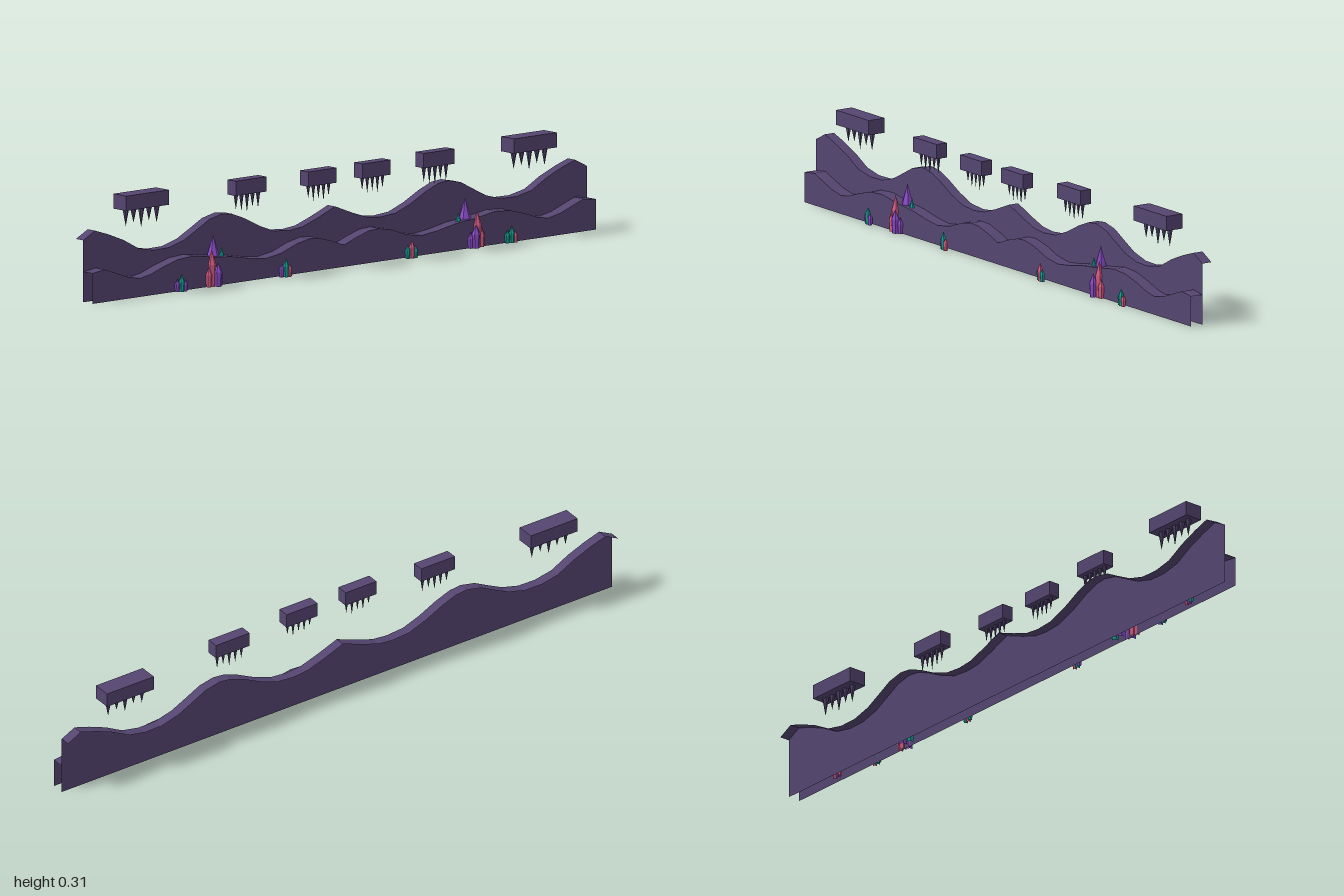
import * as THREE from 'three';

const mat = (name, color, side = THREE.FrontSide) => {
  const m = new THREE.MeshStandardMaterial({ color, side });
  m.name = name;
  return m;
};

// Faceted normals
function facet(geo) {
  const g = geo.index ? geo.toNonIndexed() : geo;
  g.computeVertexNormals();
  return g;
}

// Open terrain shell: a front wall and a ledge running back from its top edge
function ridge(name, half, zFront, zBack, material) {
  const left = half.slice(1).reverse().map(([x, y]) => [-x, y]);
  const profile = [...left, ...half];
  const pos = [];
  const quad = (a, b, c, d) => pos.push(...a, ...b, ...c, ...a, ...c, ...d);
  for (let i = 0; i < profile.length - 1; i++) {
    const [x0, y0] = profile[i], [x1, y1] = profile[i + 1];
    quad([x0, 0, zFront], [x1, 0, zFront], [x1, y1, zFront], [x0, y0, zFront]);
    quad([x0, y0, zFront], [x1, y1, zFront], [x1, y1, zBack], [x0, y0, zBack]);
  }
  const geo = new THREE.BufferGeometry();
  geo.setAttribute('position', new THREE.Float32BufferAttribute(pos, 3));
  const mesh = new THREE.Mesh(facet(geo), material);
  mesh.name = name;
  return mesh;
}

// Six-sided crystal: widening shaft with a pointed top
function crystal(x, z, r, h, material) {
  const pts = [[r * 0.8, 0], [r, h * 0.6], [0, h]].map(p => new THREE.Vector2(...p));
  const mesh = new THREE.Mesh(facet(new THREE.LatheGeometry(pts, 6)), material);
  mesh.position.set(x, 0, z);
  mesh.name = 'crystal';
  return mesh;
}

// Three small crystals side by side, the middle one tallest
function smallCluster(x, z, h, colours) {
  const g = new THREE.Group();
  g.name = 'smallCrystals';
  const layout = [[-0.013, -0.002, 0.008, 0.75], [0, 0.003, 0.009, 1], [0.013, 0.004, 0.008, 0.7]];
  layout.forEach(([dx, dz, r, k], i) => g.add(crystal(x + dx, z + dz, r, h * k, colours[i])));
  return g;
}

// Ceiling slab with a row of hanging spikes
function ceilingRock(x, z, width, depth, spikeR, lengths, rock) {
  const g = new THREE.Group();
  g.name = 'ceilingRock';
  const top = 0.308, h = 0.045;
  const slab = new THREE.Mesh(new THREE.BoxGeometry(width, h, depth), rock);
  slab.position.y = top - h / 2;
  slab.name = 'slab';
  g.add(slab);
  lengths.forEach((len, i) => {
    const cone = new THREE.ConeGeometry(spikeR, len, 6);
    cone.rotateX(Math.PI);
    const spike = new THREE.Mesh(facet(cone), rock);
    spike.position.set((i / (lengths.length - 1) - 0.5) * width * 0.72, top - h - len / 2, 0);
    spike.name = 'stalactite';
    g.add(spike);
  });
  g.position.set(x, 0, z);
  return g;
}

export function createModel() {
  const model = new THREE.Group();
  model.name = 'caveBackdrop';
  const rock = mat('rock', 0x544570, THREE.DoubleSide);
  const purple = mat('purpleCrystal', 0x8a4cc8);
  const pink = mat('pinkCrystal', 0xd95c86);
  const teal = mat('tealCrystal', 0x14a094);

  // Right half of each skyline, mirrored to the left
  const backLine = [[0, 0.177], [0.07, 0.15], [0.13, 0.13], [0.18, 0.125], [0.24, 0.13], [0.3, 0.152],
    [0.36, 0.182], [0.41, 0.201], [0.45, 0.205], [0.5, 0.194], [0.55, 0.168], [0.6, 0.143], [0.66, 0.127],
    [0.72, 0.126], [0.78, 0.138], [0.84, 0.17], [0.9, 0.194], [0.953, 0.211], [1, 0.187]];
  const frontLine = [[0, 0.066], [0.05, 0.084], [0.1, 0.098], [0.14, 0.1], [0.19, 0.09], [0.25, 0.069],
    [0.31, 0.06], [0.37, 0.067], [0.44, 0.08], [0.52, 0.088], [0.6, 0.1], [0.66, 0.096], [0.72, 0.08],
    [0.77, 0.063], [0.81, 0.056], [0.86, 0.066], [0.91, 0.084], [0.95, 0.098], [1, 0.092]];
  model.add(ridge('backRidge', backLine, -0.02, -0.053, rock));
  model.add(ridge('frontRidge', frontLine, 0.021, -0.02, rock));

  // Large clusters: x, z, radius, height, colour
  const large = [
    [0.5, -0.002, 0.018, 0.15, purple], [0.527, 0.022, 0.014, 0.112, pink],
    [0.47, 0.002, 0.013, 0.11, teal], [0.512, 0.034, 0.013, 0.072, purple],
    [0.541, 0.026, 0.01, 0.06, pink], [0.498, 0.026, 0.009, 0.05, purple]];

  for (const s of [1, -1]) {
    const group = new THREE.Group();
    group.name = 'largeCrystals';
    for (const [x, z, r, h, m] of large) group.add(crystal(s * x, z, r, h, m));
    model.add(group);
    // Floating slabs, outermost set furthest back
    model.add(
      ceilingRock(s * 0.77, -0.02, 0.17, 0.058, 0.01, [0.052, 0.045, 0.062, 0.045, 0.055], rock),
      ceilingRock(s * 0.373, 0.006, 0.122, 0.038, 0.007, [0.045, 0.052, 0.058, 0.045, 0.05], rock),
      ceilingRock(s * 0.107, 0.026, 0.112, 0.038, 0.006, [0.038, 0.05, 0.045, 0.053, 0.04], rock));
  }

  // Small clusters in front of the ridge, and a pair between the two ridges
  model.add(
    smallCluster(-0.655, 0.03, 0.052, [purple, teal, purple]),
    smallCluster(-0.25, 0.04, 0.056, [purple, teal, pink]),
    smallCluster(0.25, 0.04, 0.056, [teal, pink, teal]),
    smallCluster(0.655, 0.03, 0.052, [teal, teal, pink]),
    smallCluster(0.8, 0, 0.05, [pink, purple, pink]),
    smallCluster(-0.81, 0, 0.05, [teal, purple, pink]));
  return model;
}
